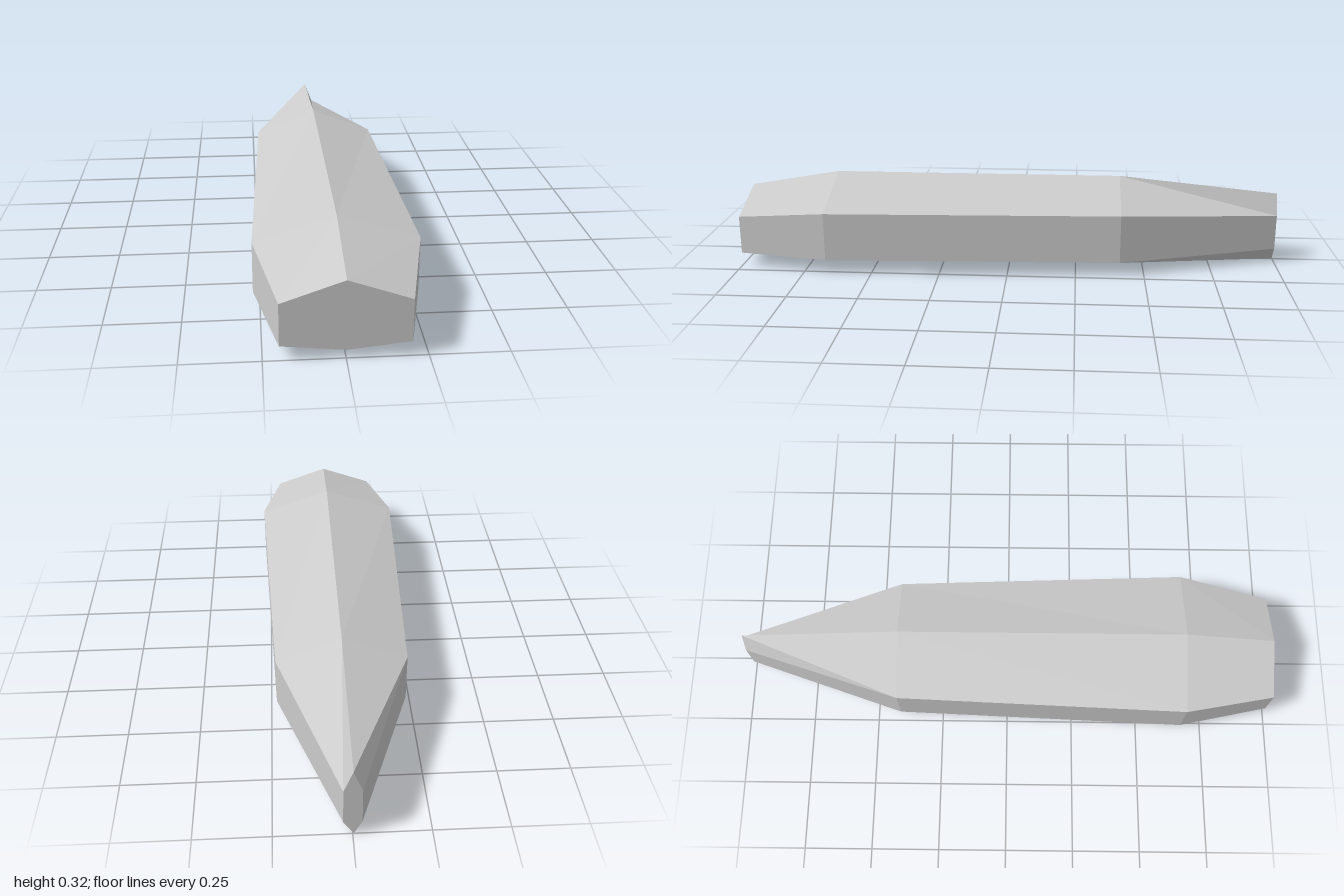
import * as THREE from 'three';

// Hexagonal cross-sections, front to back: z, half width, ridge, shoulder, sill and keel heights
const sections = [
  { z: 1.0, w: 0.2, ridge: 0.26, shoulder: 0.19, sill: 0.049, keel: 0.028, x: 0 },
  { z: 0.665, w: 0.272, ridge: 0.318, shoulder: 0.23, sill: 0.053, keel: 0.028, x: 0 },
  { z: -0.41, w: 0.23, ridge: 0.318, shoulder: 0.23, sill: 0.053, keel: 0.028, x: 0 },
  { z: -1.0, w: 0.03, ridge: 0.26, shoulder: 0.181, sill: 0.051, keel: 0, x: -0.004 },
];

function ring({ z, w, ridge, shoulder, sill, keel, x }) {
  return [[0, ridge, z], [w, shoulder, z], [w, sill, z], [x, keel, z], [-w, sill, z], [-w, shoulder, z]];
}

// Joins the rings with separate flat triangles and closes both ends
function loft(rings) {
  const positions = [];
  const tri = (...points) => points.forEach((p) => positions.push(...p));
  const n = rings[0].length;
  for (let i = 0; i < rings.length - 1; i++) {
    const near = rings[i], far = rings[i + 1];
    for (let j = 0; j < n; j++) {
      const k = (j + 1) % n;
      tri(near[j], near[k], far[k]);
      tri(near[j], far[k], far[j]);
    }
  }
  const front = rings[0], back = rings[rings.length - 1];
  for (let j = 1; j < n - 1; j++) {
    tri(front[0], front[j + 1], front[j]);
    tri(back[0], back[j], back[j + 1]);
  }
  const geometry = new THREE.BufferGeometry();
  geometry.setAttribute('position', new THREE.Float32BufferAttribute(positions, 3));
  geometry.computeVertexNormals();
  return geometry;
}

export function createModel() {
  const model = new THREE.Group();
  model.name = 'taperedHull';
  const lightGrey = new THREE.MeshStandardMaterial({ color: 0xcccccc });
  lightGrey.name = 'lightGrey';

  // Faceted hull with a blunt front and a narrow tail
  const hull = new THREE.Mesh(loft(sections.map(ring)), lightGrey);
  hull.name = 'hull';
  model.add(hull);
  return model;
}
